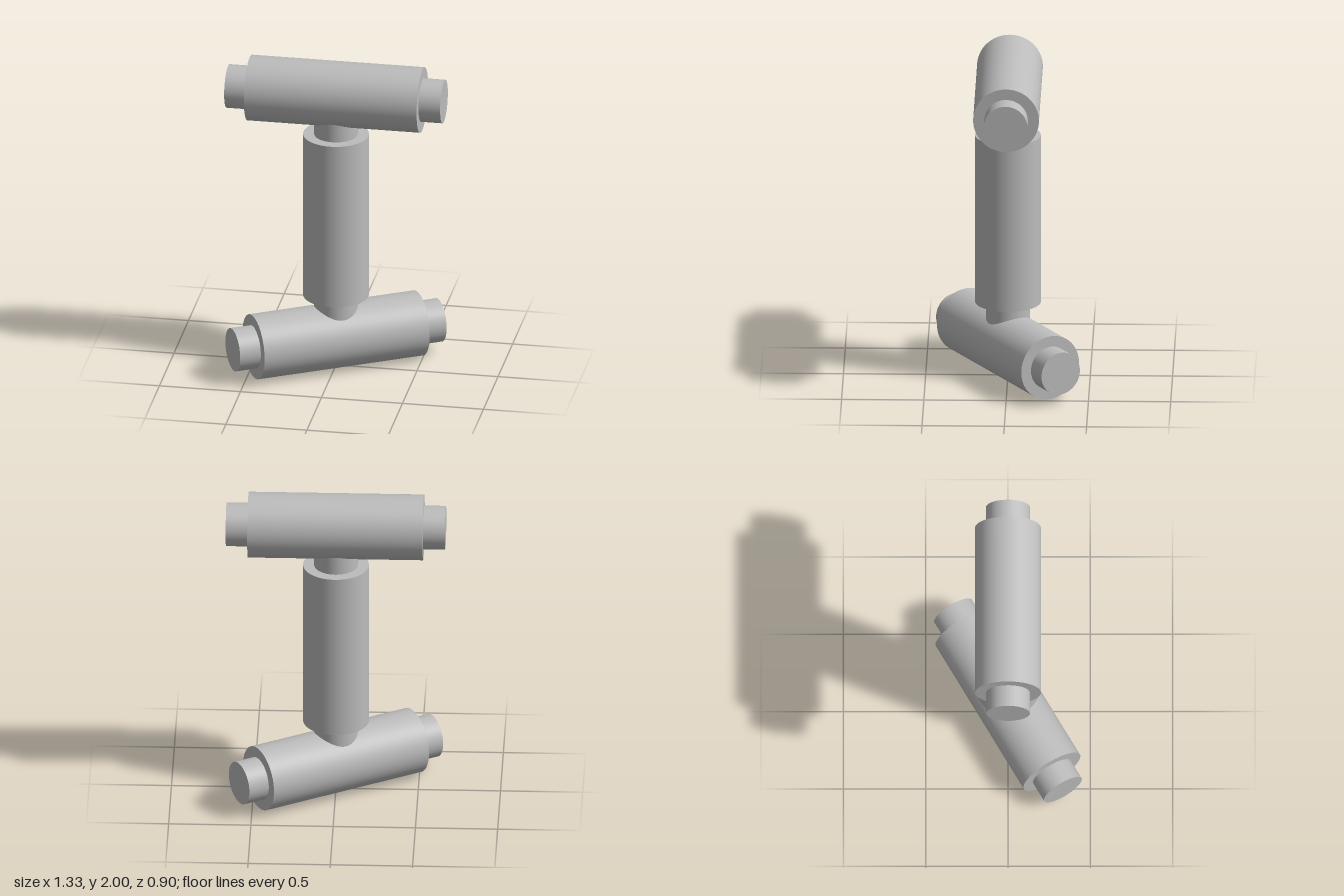
import * as THREE from 'three';

const R_SLEEVE = 0.2, R_CORE = 0.133;
const SLEEVE = 1.066, CORE = 1.333;

export function createModel() {
  const model = new THREE.Group();
  model.name = 'jointedRods';
  const grey = new THREE.MeshStandardMaterial({ color: 0xbcbcbc });
  grey.name = 'plain grey';

  // One rod: a thick sleeve with a thinner core showing at both ends
  function rod(name, y) {
    const group = new THREE.Group();
    group.name = name;
    group.position.y = y;
    const sleeve = new THREE.Mesh(new THREE.CylinderGeometry(R_SLEEVE, R_SLEEVE, SLEEVE, 64), grey);
    sleeve.name = name + 'Sleeve';
    group.add(sleeve);
    const stub = (CORE - SLEEVE) / 2;
    for (const s of [-1, 1]) {
      const end = new THREE.Mesh(new THREE.CylinderGeometry(R_CORE, R_CORE, stub, 64), grey);
      end.name = name + 'End';
      end.position.y = s * (SLEEVE + stub) / 2;
      group.add(end);
    }
    model.add(group);
    return group;
  }

  // Upright post, its ends sinking into the two crossbars
  rod('post', 1.002);

  // Upper crossbar along x
  rod('upperBar', 1.8).rotation.z = Math.PI / 2;

  // Lower crossbar, twisted 30 degrees about the post
  const lower = rod('lowerBar', 0.2);
  lower.rotation.order = 'YXZ';
  lower.rotation.set(0, Math.PI / 6, Math.PI / 2);

  return model;
}
